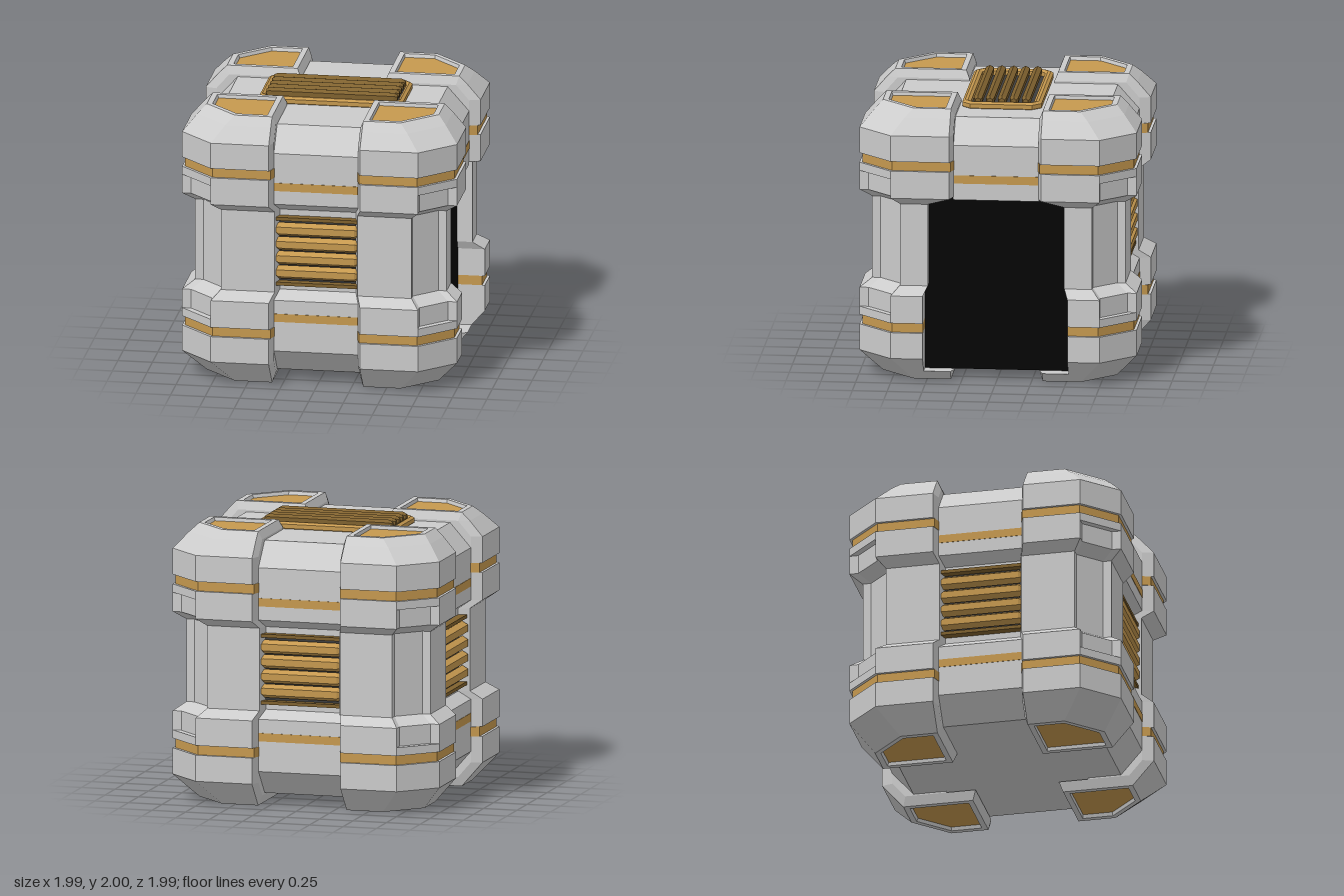
import * as THREE from 'three';

const mat = (color) => new THREE.MeshStandardMaterial({ color, flatShading: true });
const GREY = mat(0xcccccc), GOLD = mat(0xc6994f), BRONZE = mat(0x80622f), DARK = mat(0x3c3c3c), BLACK = mat(0x060606);

function add(parent, name, geo, material, x = 0, y = 0, z = 0) {
  const mesh = new THREE.Mesh(geo, material);
  mesh.name = name;
  mesh.position.set(x, y, z);
  parent.add(mesh);
  return mesh;
}

// Corner column sections: y, outer reach, chamfer start, chamfer notch, inner edge, inner edge beside the doorway
const HALF = [
  [0.025, 0.79, 0.59, 0, 0.375, 0.375],
  [0.0, 0.80, 0.59, 0, 0.37, 0.37],
  [0.0, 0.84, 0.60, 0, 0.33, 0.33],
  [0.07, 0.90, 0.66, 0, 0.33, 0.33],
  [0.07, 0.90, 0.66, 0, 0.33, 0.52],
  [0.18, 0.995, 0.75, 0, 0.33, 0.52],
  [0.37, 0.995, 0.75, 0, 0.33, 0.52],
  [0.37, 0.975, 0.74, 0, 0.32, 0.52],
  [0.44, 0.975, 0.74, 0, 0.32, 0.52],
  [0.44, 0.995, 0.75, 0, 0.33, 0.52],
  [0.50, 0.995, 0.75, 0, 0.33, 0.52],
  [0.50, 0.995, 0.75, 0.065, 0.33, 0.52],
  [0.64, 0.995, 0.75, 0.065, 0.33, 0.52],
  [0.70, 0.91, 0.69, 0.06, 0.30, 0.49],
];
const SECTIONS = [
  ...HALF,
  ...HALF.map(([y, a, c, n, i], k) => [
    Math.min(2 - y, 1.99 - (k === 0 ? y : 0)), a, c, n, i, k === HALF.length - 1 ? 0.49 : i,
  ]).reverse(),
];
const GOLD_BANDS = [7, SECTIONS.length - 9];

// Outline of one section, counter-clockwise seen from above
function outline([y, a, c, n, i, door], sx, sz) {
  const j = sx > 0 ? door : i;
  const e = y > 0.05 && y < 1.95 ? 0.025 : 0;
  const f = j === i ? e : 0;
  const d = e ? 0.08 : 0;
  return [
    [i - e, j - f], [i - e, a - d], [i, a], [c, a], [c, a - n],
    [a - n, c], [a, c], [a, j], [a - d, j - f],
  ].map(([x, z]) => new THREE.Vector3(x * sx, y, z * sz));
}

function cornerColumn(sx, sz) {
  const grey = [], gold = [];
  const flip = sx * sz < 0;
  const tri = (out, a, b, c) => {
    const area = b.clone().sub(a).cross(c.clone().sub(a)).length();
    if (area < 1e-8) return;
    for (const p of flip ? [a, c, b] : [a, b, c]) out.push(p.x, p.y, p.z);
  };
  const rings = SECTIONS.map((s) => outline(s, sx, sz));
  for (let s = 0; s + 1 < rings.length; s++) {
    const lo = rings[s], hi = rings[s + 1];
    const out = GOLD_BANDS.includes(s) ? gold : grey;
    for (let k = 0; k < lo.length; k++) {
      const m = (k + 1) % lo.length;
      tri(out, lo[k], lo[m], hi[m]);
      tri(out, lo[k], hi[m], hi[k]);
    }
  }
  // Sunken gold plates on the top and the foot
  const first = rings[0], last = rings[rings.length - 1];
  for (let k = 1; k + 1 < first.length; k++) {
    tri(gold, first[0], first[k + 1], first[k]);
    tri(gold, last[0], last[k], last[k + 1]);
  }
  const group = new THREE.Group();
  group.name = 'cornerColumn';
  for (const [name, data, m] of [['columnShell', grey, GREY], ['columnInlays', gold, GOLD]]) {
    const geo = new THREE.BufferGeometry();
    geo.setAttribute('position', new THREE.Float32BufferAttribute(data, 3));
    geo.computeVertexNormals();
    add(group, name, geo, m);
  }
  return group;
}

// Side profile extruded across a width, centred, reaching out along +x
function profile(points, width) {
  const shape = new THREE.Shape(points.map(([x, y]) => new THREE.Vector2(x, y)));
  return new THREE.ExtrudeGeometry(shape, { depth: width, bevelEnabled: false }).translate(0, 0, -width / 2);
}

// Six-sided slat with tapered ends, lying along y
function slat(radius, length) {
  const h = length / 2;
  const pts = [[0, -h], [radius * 0.6, -h], [radius, -h + 0.025], [radius, h - 0.025], [radius * 0.6, h], [0, h]];
  return new THREE.LatheGeometry(pts.map(([x, y]) => new THREE.Vector2(x, y)), 6);
}

// Rectangle with cut corners
function cutRect(Type, w, h, c) {
  return new Type([
    [-w + c, -h], [w - c, -h], [w, -h + c], [w, h - c],
    [w - c, h], [-w + c, h], [-w, h - c], [-w, -h + c],
  ].map(([x, y]) => new THREE.Vector2(x, y)));
}

export function createModel() {
  const model = new THREE.Group();
  model.name = 'crate';

  for (const sx of [1, -1]) for (const sz of [1, -1]) model.add(cornerColumn(sx, sz));

  // Walls between the columns: three vented sides and the doorway on +x
  const TOP = [[0.915, 1.74], [0.76, 1.915], [0, 1.915]];
  const ventWall = [
    [0, 0.08], [0.76, 0.08], [0.915, 0.26], [0.915, 0.64], [0.83, 0.70], [0.83, 1.30], [0.915, 1.36], ...TOP,
  ];
  const doorWall = [[0, 0.08], [0.79, 0.08], [0.79, 1.34], [0.915, 1.34], ...TOP];
  for (let q = 0; q < 4; q++) {
    const isDoor = q === 0;
    const side = new THREE.Group();
    side.name = isDoor ? 'doorSide' : 'ventSide';
    side.rotation.y = (q * Math.PI) / 2;
    add(side, 'wall', profile(isDoor ? doorWall : ventWall, 0.62), GREY);
    add(side, 'upperStripe', new THREE.BoxGeometry(0.02, 0.06, 0.605), GOLD, 0.908, 1.49, 0);
    if (isDoor) {
      add(side, 'doorBacking', new THREE.BoxGeometry(0.59, 1.26, 1.04), GREY, 0.495, 0.71, 0);
      add(side, 'doorPanel', new THREE.PlaneGeometry(1.04, 1.27).rotateY(Math.PI / 2), BLACK, 0.8, 0.705, 0);
    } else {
      add(side, 'lowerStripe', new THREE.BoxGeometry(0.02, 0.06, 0.605), GOLD, 0.908, 0.51, 0);
      add(side, 'ventRecess', new THREE.BoxGeometry(0.02, 0.5, 0.6), DARK, 0.825, 1, 0);
      for (let k = 0; k < 4; k++) {
        add(side, 'ventSlat', slat(0.05, 0.6).rotateX(Math.PI / 2), GOLD, 0.86, 0.84 + k * 0.107, 0);
      }
      for (const y of [0.757, 1.243]) {
        add(side, 'ventEdge', new THREE.BoxGeometry(0.07, 0.025, 0.6), BRONZE, 0.855, y, 0);
      }
    }
    model.add(side);
  }

  // Roof vent: cut-corner frame with five ridged slats over a dark recess
  const frame = cutRect(THREE.Shape, 0.5, 0.265, 0.05);
  frame.holes.push(cutRect(THREE.Path, 0.5, 0.245, 0.04));
  const frameGeo = new THREE.ExtrudeGeometry(frame, {
    depth: 0.03, bevelThickness: 0.015, bevelSize: 0.02, bevelSegments: 1,
  });
  add(model, 'roofVentFrame', frameGeo.rotateX(-Math.PI / 2), GOLD, 0, 1.92, 0);
  add(model, 'roofVentRecess', new THREE.BoxGeometry(0.97, 0.02, 0.46), DARK, 0, 1.91, 0);
  for (let k = -2; k <= 2; k++) {
    const ridge = slat(0.035, 0.95).rotateY(Math.PI / 6).rotateZ(Math.PI / 2);
    add(model, 'roofVentSlat', ridge, BRONZE, 0, 1.965, k * 0.086);
  }
  return model;
}
